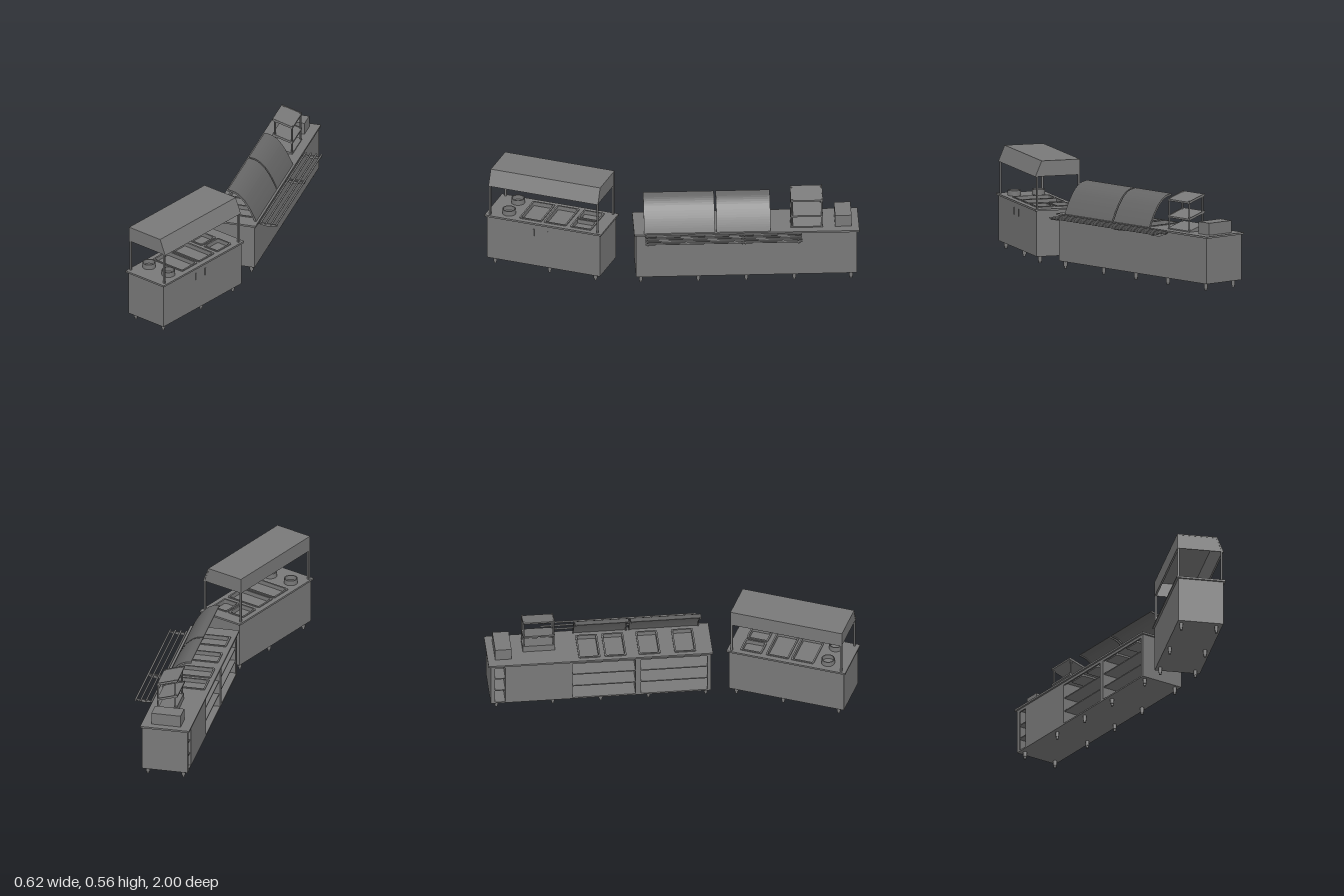
import * as THREE from 'three';

const steel = new THREE.MeshStandardMaterial({ color: 0x797979, side: THREE.DoubleSide });
const tinted = new THREE.MeshStandardMaterial({ color: 0x666666, side: THREE.DoubleSide });
const TOP = 0.297;

function add(parent, name, geo, x = 0, y = 0, z = 0, mat = steel) {
  const m = new THREE.Mesh(geo, mat);
  m.name = name;
  m.position.set(x, y, z);
  parent.add(m);
}

// Box given by its extents
function box(parent, name, x0, x1, y0, y1, z0, z1) {
  add(parent, name, new THREE.BoxGeometry(x1 - x0, y1 - y0, z1 - z0),
    (x0 + x1) / 2, (y0 + y1) / 2, (z0 + z1) / 2);
}

function rod(parent, name, r, h, x, y, z) {
  add(parent, name, new THREE.CylinderGeometry(r, r, h, 12), x, y + h / 2, z);
}

function roundedRect(target, cx, cz, w, d, r) {
  const x = cx - w / 2, y = -cz - d / 2;
  target.moveTo(x + r, y);
  target.lineTo(x + w - r, y);
  target.quadraticCurveTo(x + w, y, x + w, y + r);
  target.lineTo(x + w, y + d - r);
  target.quadraticCurveTo(x + w, y + d, x + w - r, y + d);
  target.lineTo(x + r, y + d);
  target.quadraticCurveTo(x, y + d, x, y + d - r);
  target.lineTo(x, y + r);
  target.quadraticCurveTo(x, y, x + r, y);
  return target;
}

// Horizontal plate of a shape, extruded upward
function plate(shape, h) {
  return new THREE.ExtrudeGeometry(shape, { depth: h, bevelEnabled: false, curveSegments: 4 }).rotateX(-Math.PI / 2);
}

// Upright profile in x and y, extruded along z and centred on it
function profile(points, depth) {
  const s = new THREE.Shape(points.map(([x, y]) => new THREE.Vector2(x, y)));
  return new THREE.ExtrudeGeometry(s, { depth, bevelEnabled: false }).translate(0, 0, -depth / 2);
}

// Worktop with openings for the pans, and the sunken pans themselves
function worktopWithPans(parent, cx, cz, w, d, pans) {
  const s = roundedRect(new THREE.Shape(), cx, cz, w, d, 0.002);
  for (const [x, z, pw, pd] of pans) s.holes.push(roundedRect(new THREE.Path(), x, z, pw - 0.01, pd - 0.01, 0.008));
  add(parent, 'worktop', plate(s, 0.01), 0, TOP - 0.01, 0);
  for (const [x, z, pw, pd] of pans) {
    const ring = (outer, inner) => {
      const r = roundedRect(new THREE.Shape(), 0, 0, pw - outer, pd - outer, 0.01);
      r.holes.push(roundedRect(new THREE.Path(), 0, 0, pw - inner, pd - inner, 0.008));
      return r;
    };
    const pan = new THREE.Group();
    pan.name = 'foodPan';
    pan.position.set(x, 0, z);
    parent.add(pan);
    add(pan, 'panRim', plate(ring(0, 0.018), 0.005), 0, TOP, 0);
    add(pan, 'panWall', plate(ring(0.011, 0.018), 0.02), 0, TOP - 0.02, 0);
    add(pan, 'panFloor', plate(roundedRect(new THREE.Shape(), 0, 0, pw - 0.012, pd - 0.012, 0.008), 0.002), 0, TOP - 0.02, 0);
  }
}

function legs(parent, xs, zs) {
  for (const x of xs) for (const z of zs) {
    rod(parent, 'legSocket', 0.01, 0.03, x, 0.012, z);
    rod(parent, 'foot', 0.007, 0.014, x, 0, z);
  }
}

function servingCounter() {
  const g = new THREE.Group();
  g.name = 'servingCounter';
  const x0 = -0.05, x1 = 0.2, z0 = -0.988, z1 = 0.196, t = 0.008, yb = 0.04, yt = TOP - 0.01;

  // Cabinet panels, open toward the staff side
  box(g, 'cabinetFloor', x0, x1, yb, yb + t, z0, z1);
  box(g, 'customerPanel', x1 - t, x1, yb, yt, z0, z1);
  box(g, 'endPanel', x0, x1, yb, yt, z0, z0 + t);
  box(g, 'endPanel', x0, x1, yb, yt, z1 - t, z1);
  box(g, 'closedPanel', x0, x0 + t, yb, yt, -0.91, -0.55);
  box(g, 'topRail', x0, x0 + t, yt - 0.014, yt, z0, z1);
  for (const [a, b] of [[-0.91, -0.902], [-0.558, -0.55], [-0.21, -0.18]]) box(g, 'divider', x0, x1 - t, yb, yt, a, b);
  box(g, 'cornerPost', x0, x0 + t, yb, yt, z0, z0 + 0.022);
  box(g, 'cornerPost', x0, x0 + t, yb, yt, z1 - 0.02, z1);
  for (const [a, b] of [[z0 + t, -0.91], [-0.55, -0.21], [-0.18, z1 - t]])
    for (const y of [0.118, 0.195]) box(g, 'shelf', x0 + 0.006, x1 - t, y, y + 0.006, a, b);

  worktopWithPans(g, 0.074, -0.397, 0.268, 1.206,
    [-0.455, -0.315, -0.132, 0.06].map(z => [0.065, z, 0.2, 0.117]));
  legs(g, [-0.02, 0.175], [0.17, -0.138, -0.395, -0.652, -0.956]);

  // Curved guard: two tinted panels with heavier ribs at their ends
  const arc = new THREE.CatmullRomCurve3([[0.037, 0.466], [0.08, 0.456], [0.12, 0.427], [0.155, 0.379], [0.18, 0.333], [0.2, 0.288]]
    .map(([x, y]) => new THREE.Vector3(x, y, 0)));
  const strip = (thick, depth) => {
    const pts = arc.getPoints(20);
    const inner = pts.map((p, i) => {
      const q = arc.getTangent(i / 20);
      return [p.x + q.y * thick, p.y - q.x * thick];
    });
    return profile([...pts.map(p => [p.x, p.y]), ...inner.reverse()], depth);
  };
  for (const [a, b] of [[-0.525, -0.236], [-0.226, 0.153]]) {
    add(g, 'guardPanel', strip(0.004, b - a), 0, 0, (a + b) / 2, tinted);
    for (const z of [a + 0.003, b - 0.003]) add(g, 'guardRib', strip(0.01, 0.006), 0, 0, z);
  }

  // Tray slide: four rails on tapered brackets
  for (const x of [0.217, 0.247, 0.277, 0.305])
    add(g, 'trayRail', new THREE.CylinderGeometry(0.005, 0.005, 0.84, 10).rotateX(Math.PI / 2), x, 0.288, -0.27);
  for (const z of [-0.67, -0.384, -0.368, 0.137])
    add(g, 'trayBracket', profile([[0.198, 0.286], [0.198, 0.279], [0.255, 0.269], [0.31, 0.279], [0.31, 0.286]], 0.006), 0, 0, z);

  // Display rack: wedge base and two sloping shelves
  const rack = new THREE.Group();
  rack.name = 'displayRack';
  g.add(rack);
  for (const z of [-0.8, -0.64]) {
    rod(rack, 'rackPost', 0.005, 0.195, 0.061, TOP, z);
    rod(rack, 'rackPost', 0.005, 0.168, 0.155, TOP, z);
  }
  add(rack, 'rackBase', profile([[0.051, TOP], [0.051, 0.333], [0.16, 0.303], [0.16, TOP]], 0.172), 0, 0, -0.72);
  for (const y of [0.402, 0.493]) {
    add(rack, 'rackShelf', profile([[0.047, y], [0.047, y - 0.009], [0.16, y - 0.043], [0.16, y - 0.034]], 0.164), 0, 0, -0.72);
    for (const z of [-0.804, -0.636])
      add(rack, 'rackShelfEdge', profile([[0.047, y + 0.004], [0.047, y - 0.009], [0.16, y - 0.043], [0.16, y - 0.03]], 0.004), 0, 0, z);
  }

  box(g, 'counterBox', -0.005, 0.155, TOP, 0.362, -0.96, -0.872);
  return g;
}

function hoodedCounter() {
  const g = new THREE.Group();
  g.name = 'hoodedCounter';
  g.position.set(-0.056, 0, 0.6375);
  g.rotation.y = -0.408;

  box(g, 'cabinet', -0.123, 0.123, 0.04, 0.262, -0.323, 0.323);
  for (const s of [-1, 1]) {
    box(g, 'cabinetUpperSide', s * 0.119 - 0.004, s * 0.119 + 0.004, 0.262, TOP - 0.01, -0.323, 0.323);
    box(g, 'cabinetUpperEnd', -0.123, 0.123, 0.262, TOP - 0.01, s * 0.319 - 0.004, s * 0.319 + 0.004);
  }
  worktopWithPans(g, 0, 0, 0.267, 0.667, [
    [0, 0.082, 0.21, 0.128], [0, -0.058, 0.21, 0.128],
    [-0.055, -0.205, 0.1, 0.12], [0.055, -0.205, 0.1, 0.12]]);
  legs(g, [-0.1, 0.092], [-0.287, -0.024, 0.287]);

  // Open round soup pots
  for (const x of [-0.068, 0.068]) {
    const pts = [[0, 0], [0.036, 0], [0.036, 0.028], [0.031, 0.028], [0.031, 0.004], [0, 0.004]];
    const geo = new THREE.LatheGeometry(pts.map(p => new THREE.Vector2(...p)), 32).toNonIndexed();
    geo.computeVertexNormals();
    add(g, 'soupPot', geo, x, TOP, 0.217);
  }

  // Door handles
  for (const z of [-0.023, 0.055]) box(g, 'doorHandle', 0.122, 0.127, 0.217, 0.257, z - 0.004, z + 0.004);

  // Hood: bent sheet, inset ends, four square posts
  add(g, 'hoodShell', profile([[-0.126, 0.47], [-0.126, 0.555], [0.091, 0.555], [0.127, 0.47],
    [0.118, 0.47], [0.086, 0.549], [-0.116, 0.549], [-0.116, 0.47]], 0.626));
  for (const s of [-1, 1]) {
    add(g, 'hoodEnd', profile([[-0.12, 0.471], [-0.12, 0.55], [0.088, 0.55], [0.12, 0.471]], 0.005), 0, 0, s * 0.309);
    for (const x of [-0.119, 0.116]) box(g, 'hoodPost', x - 0.005, x + 0.005, TOP, 0.48, s * 0.307 - 0.005, s * 0.307 + 0.005);
  }
  return g;
}

export function createModel() {
  const model = new THREE.Group();
  model.name = 'cafeteriaCounters';
  model.add(servingCounter(), hoodedCounter());
  return model;
}
